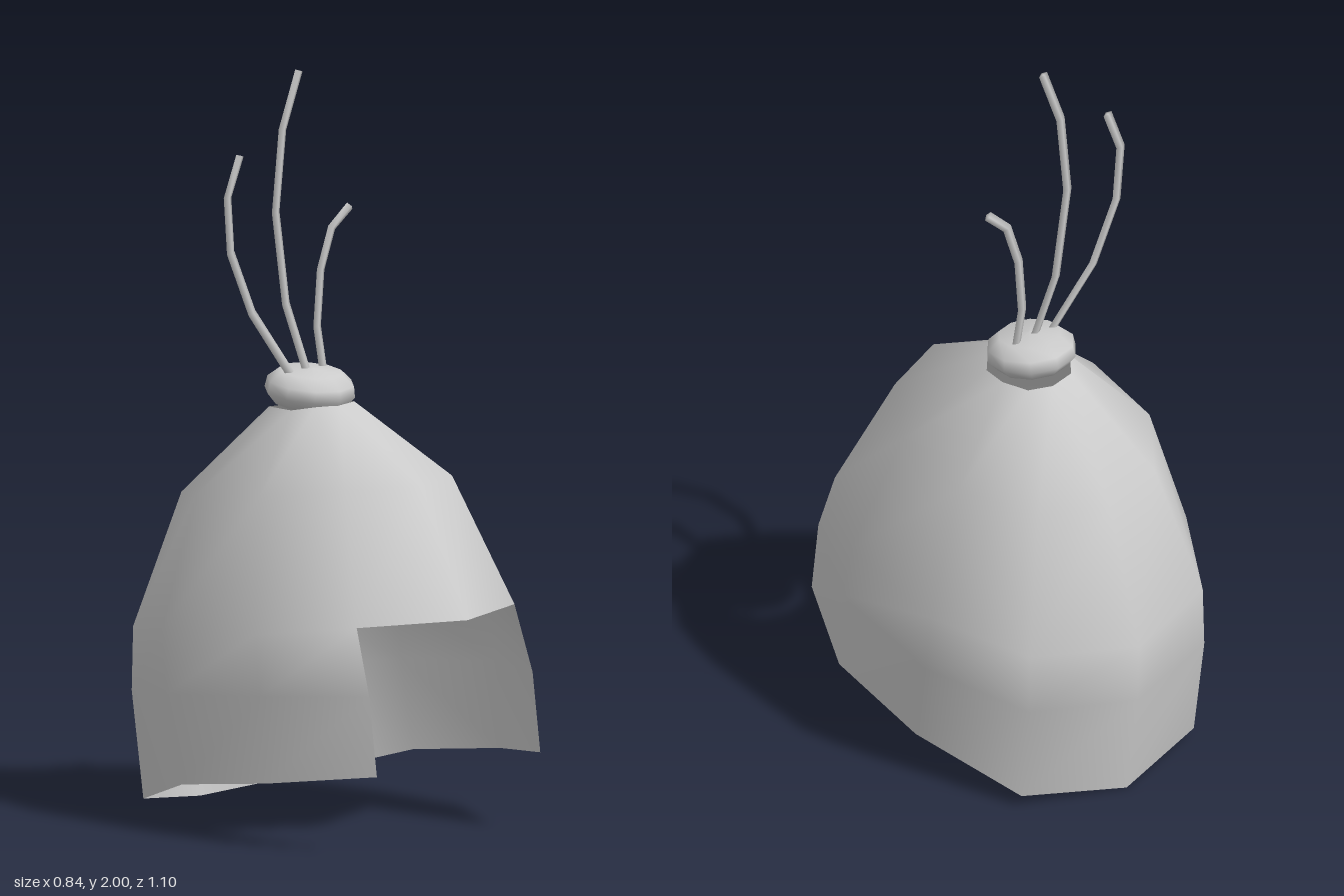
import * as THREE from 'three';

const grey = new THREE.MeshStandardMaterial({ color: 0xcccccc, side: THREE.DoubleSide });

// Joins equal-length loops of points into one smooth surface.
function loft(rings, keep = () => true) {
  const n = rings[0].length, index = [];
  for (let i = 0; i < rings.length - 1; i++) {
    for (let j = 0; j < n; j++) {
      if (!keep(i, j)) continue;
      const k = (j + 1) % n;
      const a = i * n + j, b = i * n + k, c = a + n, d = b + n;
      index.push(a, c, b, b, c, d);
    }
  }
  const g = new THREE.BufferGeometry();
  g.setAttribute('position', new THREE.Float32BufferAttribute(rings.flat(2), 3));
  g.setIndex(index);
  g.computeVertexNormals();
  return g;
}

function part(name, geometry) {
  const m = new THREE.Mesh(geometry, grey);
  m.name = name;
  return m;
}

// Half rings of the hood, front to back along the +x side, from crown to hem.
const hoodHalves = [
  [[0, 1.11, 0.05], [0.07, 1.11, 0.03], [0.11, 1.10, -0.02], [0.11, 1.10, -0.09], [0.07, 1.09, -0.15], [0, 1.085, -0.165]],
  [[0, 0.935, 0.37], [0.19, 0.93, 0.28], [0.31, 0.91, 0.08], [0.31, 0.88, -0.17], [0.19, 0.85, -0.36], [0, 0.84, -0.42]],
  [[0, 0.60, 0.55], [0.28, 0.595, 0.425], [0.41, 0.56, 0.17], [0.415, 0.53, -0.19], [0.28, 0.49, -0.45], [0, 0.47, -0.55]],
  [[0, 0.42, 0.50], [0.29, 0.42, 0.485], [0.42, 0.40, 0.20], [0.417, 0.36, -0.17], [0.285, 0.32, -0.45], [0, 0.30, -0.545]],
  [[0, 0.21, 0.50], [0.29, 0.21, 0.515], [0.415, 0.17, 0.22], [0.41, 0.125, -0.115], [0.28, 0.035, -0.41], [0, 0, -0.495]],
];

function hood() {
  const rings = hoodHalves.map(h => [
    ...h,
    ...h.slice(1, -1).reverse().map(([x, y, z]) => [-x, y, z]),
  ]);
  // The face opening leaves out the two front panels of the lower rows.
  return part('hood', loft(rings, (i, j) => i < 2 || (j !== 0 && j !== 9)));
}

// Tilted knob on the crown.
function knob() {
  const profile = [[0, -0.045], [0.095, -0.045], [0.122, -0.015], [0.117, 0.015], [0.085, 0.043], [0, 0.05]]
    .map(([r, y]) => new THREE.Vector2(r, y));
  const m = part('knob', new THREE.LatheGeometry(profile, 10));
  m.position.set(-0.005, 1.147, -0.06);
  m.rotation.x = 0.12;
  return m;
}

// Thin bent strand with a flat four-sided section.
function strand(name, points) {
  const p = points.map(q => new THREE.Vector3(...q));
  const rings = p.map((c, i) => {
    const t = p[Math.min(i + 1, p.length - 1)].clone().sub(p[Math.max(i - 1, 0)]);
    const side = new THREE.Vector3(t.y, -t.x, 0).setLength(0.0135);
    return [[1, 0], [0, -1], [-1, 0], [0, 1]].map(([s, f]) =>
      [c.x + side.x * s, c.y + side.y * s, c.z + f * 0.008]);
  });
  // Close both ends at their centres.
  const cap = i => rings[i].map(() => p[i].toArray());
  return part(name, loft([cap(0), ...rings, cap(p.length - 1)]));
}

export function createModel() {
  const model = new THREE.Group();
  model.name = 'plumedHood';
  model.add(
    hood(),
    knob(),
    strand('rightStrand', [[-0.065, 1.18, -0.065], [-0.185, 1.36, -0.09], [-0.265, 1.53, -0.085], [-0.285, 1.68, -0.075], [-0.25, 1.79, -0.065]]),
    strand('middleStrand', [[-0.01, 1.18, -0.065], [-0.06, 1.37, -0.095], [-0.105, 1.62, -0.085], [-0.09, 1.84, -0.075], [-0.04, 1.993, -0.066]]),
    strand('leftStrand', [[0.055, 1.18, -0.075], [0.042, 1.30, -0.085], [0.05, 1.45, -0.08], [0.08, 1.56, -0.07], [0.135, 1.613, -0.06]]),
  );
  return model;
}
